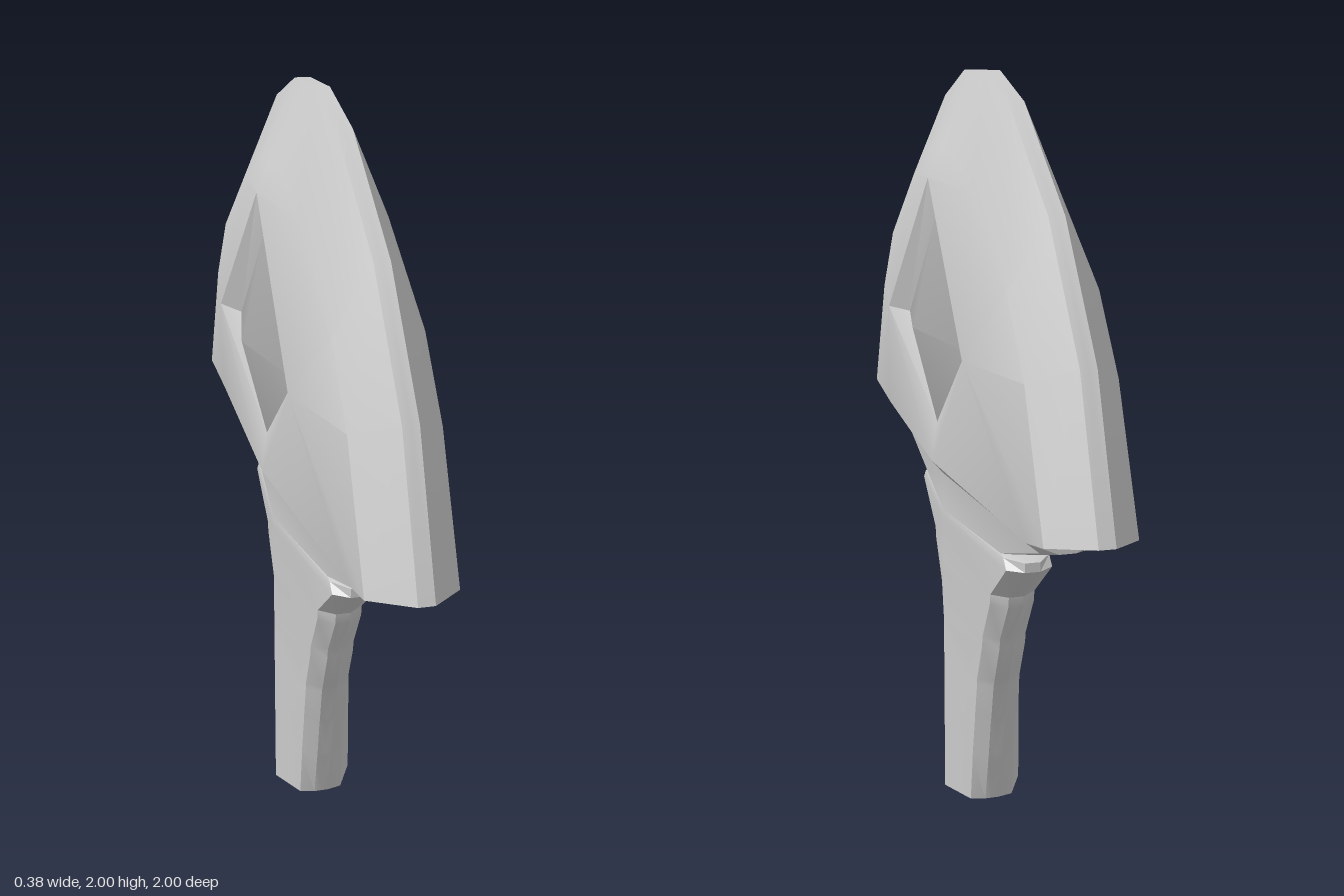
import * as THREE from 'three';
import { toCreasedNormals } from 'three/addons/utils/BufferGeometryUtils.js';

const p = (x, y, z) => new THREE.Vector3(x, y, z);

// Triangles between two rows of points; repeated points collapse quads to triangles.
function strip(a, b) {
  const tris = [];
  const add = (u, v, w) => {
    if (!u.equals(v) && !v.equals(w) && !w.equals(u)) tris.push([u, v, w]);
  };
  for (let i = 0; i < a.length - 1; i++) {
    add(a[i], a[i + 1], b[i + 1]);
    add(a[i], b[i + 1], b[i]);
  }
  return tris;
}

// Mirror a quarter (x >= 0, z >= 0) into all four quarters.
function mirroredMesh(name, tris, crease, color) {
  const pos = [];
  for (const sx of [1, -1]) for (const sz of [1, -1]) {
    for (const t of tris) {
      for (const v of sx * sz > 0 ? t : [...t].reverse()) pos.push(v.x * sx, v.y, v.z * sz);
    }
  }
  const g = new THREE.BufferGeometry();
  g.setAttribute('position', new THREE.Float32BufferAttribute(pos, 3));
  const mesh = new THREE.Mesh(toCreasedNormals(g, crease), new THREE.MeshStandardMaterial({ color }));
  mesh.name = name;
  return mesh;
}

export function createModel() {
  const group = new THREE.Group();
  group.name = 'fanBladedTool';

  // Blade: narrow rim, bevel, and cheek swelling to a diamond-shaped ridge
  const arc = [[2, 0], [2, 0.1], [1.93, 0.31], [1.69, 0.63], [1.39, 0.86], [1.03, 1]];
  const rim = arc.map(([y, z]) => p(0, y, z));
  const edge = arc.map(([y, z]) => p(0.02, y, z));
  const cheek = [[1.8, 0], [1.8, 0.1], [1.72, 0.31], [1.52, 0.61], [1.34, 0.75], [1.01, 0.9]]
    .map(([y, z]) => p(0.11, y, z));
  const ridge = [p(0.145, 1.73, 0), p(0.165, 1.33, 0.42), p(0.14, 0.97, 0)];
  const socket = [p(0.125, 1.63, 0), p(0.125, 1.33, 0.32), p(0.125, 1.08, 0)];
  const corner = p(0.1, 0.97, 0.74), cornerMid = p(0, 0.97, 0.74);
  const [c0, c1, c2, c3, c4, c5] = cheek;
  const [top, side, low] = ridge;
  group.add(mirroredMesh('blade', [
    ...strip(rim, edge),
    ...strip(edge, cheek),
    ...strip([c0, c1, c2, c2, c3, c4, c5, corner, corner],
      [top, top, top, side, side, side, side, side, low]),
    ...strip(ridge, socket),
    ...strip([c5, edge[5], rim[5]], [corner, corner, cornerMid]), // underside of the tip
  ], 0.45, 0xcccccc));

  // Raised diamond stud set in the ridge
  const apex = p(0.19, 1.34, 0);
  group.add(mirroredMesh('diamondStud', strip(socket, [apex, apex, apex]), 0.6, 0xababab));

  // Handle: stepped, flaring rows of [height, bevel depth, outer depth]
  const rows = [
    [0.935, 0.72, 0.74], [0.83, 0.4, 0.42], [0.825, 0.42, 0.475], [0.8, 0.445, 0.475],
    [0.685, 0.3, 0.335], [0.655, 0.295, 0.33], [0.54, 0.225, 0.255], [0.51, 0.22, 0.25],
    [0.395, 0.17, 0.2], [0.375, 0.168, 0.192], [0.28, 0.148, 0.172], [0.26, 0.145, 0.166],
    [0.15, 0.122, 0.145], [0.13, 0.12, 0.14], [0, 0.1, 0.11],
  ].map(([y, zi, zo]) => [p(0.11, y, 0), p(0.06, y, zi), p(0.02, y, zo), p(0, y, zo)]);
  const handle = strip([low, corner, cornerMid, cornerMid], rows[0]); // shoulder ledge
  for (let i = 0; i < rows.length - 1; i++) handle.push(...strip(rows[i], rows[i + 1]));
  handle.push(...strip(rows[rows.length - 1], Array(4).fill(p(0, 0, 0))));
  group.add(mirroredMesh('handle', handle, 0.45, 0xcccccc));

  return group;
}
